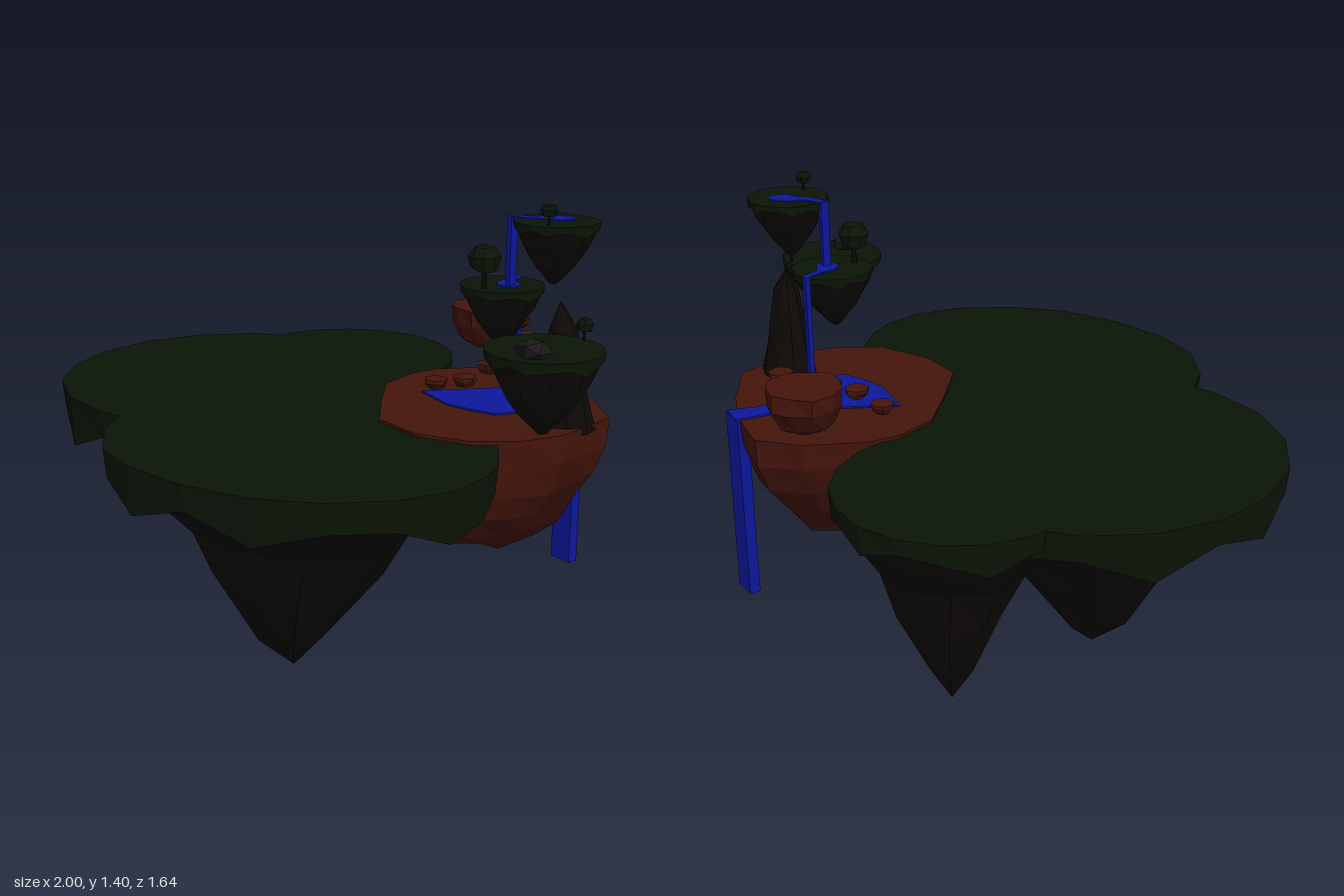
import * as THREE from 'three';

const mat = (color) => new THREE.MeshStandardMaterial({ color, flatShading: true, side: THREE.DoubleSide });
const GRASS = mat(0x0b1506), ROCK = mat(0x0d0907), CLAY = mat(0x44150c), WATER = mat(0x0d179c), STONE = mat(0x191919);

// Seeded noise in -1..1
let seed = 7;
const rnd = () => {
  seed = (seed * 16807) % 2147483647;
  return (seed / 2147483647) * 2 - 1;
};

// Skin a list of rings (top to bottom, same point count) with flat faces
function loft(rings) {
  const pos = [], n = rings[0].length;
  for (let k = 0; k < rings.length - 1; k++) {
    const t = rings[k], b = rings[k + 1];
    for (let i = 0; i < n; i++) {
      const j = (i + 1) % n;
      pos.push(...t[i], ...t[j], ...b[i], ...t[j], ...b[j], ...b[i]);
    }
  }
  const g = new THREE.BufferGeometry();
  g.setAttribute('position', new THREE.Float32BufferAttribute(pos, 3));
  g.computeVertexNormals();
  return g;
}

// Circular ring with optional radial / vertical jitter
const ring = (n, cx, y, cz, r, jr = 0, jy = 0) => Array.from({ length: n }, (_, i) => {
  const a = (i / n) * Math.PI * 2, q = r * (1 + jr * rnd());
  return [cx + q * Math.cos(a), y + jy * rnd(), cz + q * Math.sin(a)];
});

function add(parent, name, geometry, material) {
  const m = new THREE.Mesh(geometry, material);
  m.name = name;
  parent.add(m);
  return m;
}

const circle = (x, z, r) => ring(18, x, 0, z, r).map((p) => [p[0], p[2]]);

// Rock cone profiles: [radius, height] fractions from turf to tip
const BIG = [[0.93, 0.9], [0.8, 0.79], [0.59, 0.66], [0.44, 0.44], [0.18, 0.14], [0, 0]];
const SMALL = [[0.93, 0.88], [0.8, 0.66], [0.62, 0.46], [0.44, 0.28], [0.14, 0.06], [0, 0]];

// Floating island: flat turf with a ragged skirt over a faceted rock cone
function island(name, profile, x, z, R, top, bottom, tipX = x, tipZ = z, outline = circle(x, z, R)) {
  const g = new THREE.Group(), h = top - bottom;
  g.name = name;
  const scaled = (s, drop) => outline.map(([px, pz], i) => [x + (px - x) * s, top - R * drop(i), z + (pz - z) * s]);
  const depths = [0.27, 0.16, 0.15, 0.23, 0.14];
  add(g, 'turf', loft([scaled(0, () => 0), scaled(1, () => 0), scaled(0.985, (i) => depths[i % 5] + 0.02 * rnd()),
    scaled(0.86, () => 0.1)]), GRASS);
  // The rock drifts sideways towards its tip
  add(g, 'rock', loft(profile.map(([r, y], i) => {
    const k = Math.min(1, (1 - y) * 1.4), j = i > 1 && i < 5 ? 1 : 0;
    return ring(10, x + (tipX - x) * k, bottom + y * h, z + (tipZ - z) * k, r * R, 0.05 * j, 0.025 * h * j);
  })), ROCK);
  return g;
}

// Flat-topped clay boulder
function boulder(x, y, z, r, h, n) {
  return loft([ring(n, x, y + h / 2, z, 0), ring(n, x, y + h / 2, z, r * 0.93, 0.08),
    ring(n, x, y + h * 0.15, z, r * 0.93, 0.07, h * 0.06), ring(n, x, y - h * 0.3, z, r * 0.65, 0.1, h * 0.06),
    ring(n, x, y - h / 2, z, r * 0.3), ring(n, x, y - h / 2, z, 0)]);
}

function tree(x, y, z, r, h) {
  const g = new THREE.Group();
  g.name = 'tree';
  add(g, 'trunk', new THREE.CylinderGeometry(r * 0.12, r * 0.18, h * 0.7, 5), ROCK).position.set(x, y + h * 0.35, z);
  add(g, 'canopy', loft([ring(8, x, y + h, z, 0), ring(8, x, y + h * 0.98, z, r * 0.6, 0.1),
    ring(8, x, y + h * 0.76, z, r * 0.97, 0.08), ring(8, x, y + h * 0.46, z, r * 0.75, 0.1, h * 0.05),
    ring(8, x, y + h * 0.5, z, 0)]), GRASS);
  return g;
}

// Thin sheet of water following an outline of [x, z] points
function pool(parent, name, outline, y) {
  const s = new THREE.Shape(outline.map(([x, z]) => new THREE.Vector2(x, -z)));
  const geo = new THREE.ExtrudeGeometry(s, { depth: 0.006, bevelEnabled: false });
  geo.rotateX(-Math.PI / 2);
  add(parent, name, geo, WATER).position.y = y;
}

function waterfall(parent, name, x, z, w, d, y0, y1) {
  add(parent, name, new THREE.BoxGeometry(w, y1 - y0, d), WATER).position.set(x, (y0 + y1) / 2, z);
}

export function createModel() {
  const model = new THREE.Group();
  model.name = 'floatingIslands';

  // Three merged main islands and three small ones above
  const frontRim = [[0.9, 0.21], [0.87, 0.38], [0.77, 0.55], [0.62, 0.69], [0.42, 0.78], [0.2, 0.82], [0.02, 0.8],
    [-0.15, 0.7], [-0.25, 0.58], [-0.3, 0.4], [-0.3, 0.2], [-0.25, 0], [-0.13, -0.17], [0.06, -0.28], [0.28, -0.32],
    [0.5, -0.26], [0.69, -0.14], [0.81, -0.03], [0.865, 0.06]];
  model.add(
    island('leftIsland', BIG, -0.41, 0.05, 0.59, 0.72, 0.02, -0.4, 0.07),
    island('frontIsland', BIG, 0.29, 0.22, 0.59, 0.72, 0, 0.3, 0.32, frontRim),
    island('backIsland', BIG, -0.41, -0.425, 0.38, 0.72, 0, -0.4, -0.46),
    island('sideIslet', SMALL, 0.828, -0.17, 0.172, 1.04, 0.785),
    island('lowerIslet', SMALL, 0.437, -0.37, 0.13, 1.13, 0.935),
    island('upperIslet', SMALL, 0.587, -0.44, 0.13, 1.34, 1.145),
  );

  // Clay basin: an irregular outline shrunk towards its base, bulging forward
  const rim = [[0.76, -0.34], [0.725, -0.2], [0.64, -0.08], [0.47, 0], [0.3, 0], [0.15, -0.13], [0, -0.27],
    [-0.05, -0.42], [-0.04, -0.53], [0.05, -0.7], [0.17, -0.8], [0.26, -0.79], [0.38, -0.765], [0.53, -0.7], [0.71, -0.59]];
  const level = (s, y, j = 0, dz = 0) => rim.map(([x, z]) => {
    const q = s * (1 + j * rnd());
    return [0.36 + (x - 0.36) * q, y + j * 0.5 * rnd(), -0.41 + dz + (z + 0.41) * q];
  });
  add(model, 'clayBasin', loft([level(0, 0.727), level(0.8, 0.728), level(0.99, 0.731, 0.005), level(0.97, 0.64, 0.015),
    level(0.92, 0.55, 0.025, 0.02), level(0.82, 0.47, 0.025, 0.035), level(0.66, 0.39, 0.03, 0.03),
    level(0.41, 0.305, 0.02), level(0, 0.3)]), CLAY);

  // Pointed spire
  add(model, 'spire', loft([[0.61, 1.1, 0, 0], [0.625, 1.02, 0.045, 0.04], [0.628, 0.9, 0.075, 0.06],
    [0.632, 0.8, 0.09, 0.075], [0.632, 0.71, 0.113, 0.092]].map(([x, y, rx, rz]) =>
    ring(9, 0, y, 0, 1, 0.05).map((p) => [x + p[0] * rx, y, -0.45 + p[2] * rz]))), ROCK);

  // Hovering boulder and the trail of stepping stones
  add(model, 'hoveringBoulder', boulder(0.01, 0.87, -0.7, 0.125, 0.14, 11), CLAY);
  [[0.18, 0.91, -0.69], [0.245, 0.877, -0.655], [0.268, 0.838, -0.57], [0.26, 0.805, -0.49],
    [0.24, 0.77, -0.405], [0.14, 0.745, -0.37]].forEach(([x, y, z]) =>
    add(model, 'steppingStone', boulder(x, y, z, 0.042, 0.036, 7), CLAY));

  // Trees and grey rocks
  model.add(tree(0.447, 1.13, -0.285, 0.054, 0.13), tree(0.635, 1.34, -0.36, 0.027, 0.06), tree(0.83, 1.04, -0.325, 0.026, 0.065));
  [[0.875, -0.09, 0.05], [0.84, -0.08, 0.028]].forEach(([x, z, r]) => {
    const m = add(model, 'greyRock', new THREE.IcosahedronGeometry(r, 0), STONE);
    m.position.set(x, 1.055, z);
    m.scale.y = 0.72;
  });

  // Pools and streams
  pool(model, 'basinPool', [[0.33, -0.785], [0.42, -0.775], [0.39, -0.68], [0.39, -0.6], [0.45, -0.51], [0.52, -0.42],
    [0.48, -0.32], [0.4, -0.29], [0.31, -0.27], [0.15, -0.3], [0.21, -0.41], [0.26, -0.5], [0.28, -0.58], [0.32, -0.68]], 0.73);
  pool(model, 'lowerStream', [[0.375, -0.495], [0.4, -0.495], [0.43, -0.43], [0.49, -0.4], [0.5, -0.36], [0.45, -0.34],
    [0.41, -0.37], [0.4, -0.43]], 1.128);
  pool(model, 'upperStream', [[0.455, -0.395], [0.51, -0.42], [0.53, -0.48], [0.58, -0.51], [0.62, -0.49], [0.61, -0.44],
    [0.56, -0.42], [0.53, -0.39], [0.46, -0.365]], 1.338);

  // Waterfalls
  waterfall(model, 'upperFall', 0.464, -0.378, 0.02, 0.026, 1.13, 1.343);
  waterfall(model, 'lowerFall', 0.385, -0.49, 0.022, 0.016, 0.73, 1.134);
  waterfall(model, 'basinFall', 0.375, -0.762, 0.085, 0.036, 0.11, 0.734);

  return model;
}
